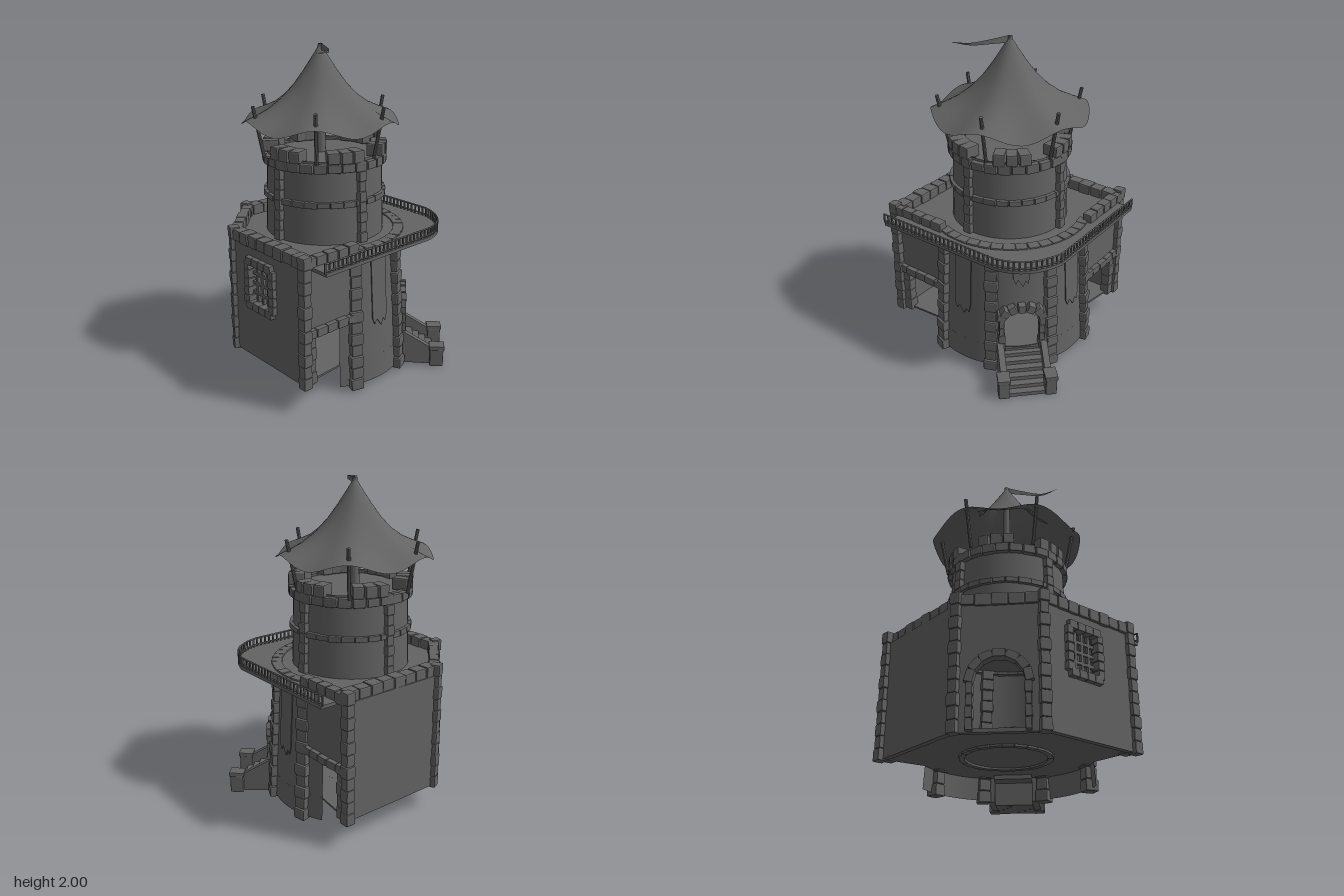
import * as THREE from 'three';
import { mergeGeometries } from 'three/addons/utils/BufferGeometryUtils.js';
import { RoundedBoxGeometry } from 'three/addons/geometries/RoundedBoxGeometry.js';
import { ParametricGeometry } from 'three/addons/geometries/ParametricGeometry.js';

const CX = -0.052, CZ = -0.067, DEG = Math.PI / 180;
const FLOOR = 0.17, DECK = 0.87;
let seed = 7;
const rnd = (a, b) => {
  seed = (seed * 16807) % 2147483647;
  return a + (b - a) * seed / 2147483647;
};
const flat = new THREE.MeshStandardMaterial({ color: 0x636363, flatShading: true });
const smooth = new THREE.MeshStandardMaterial({ color: 0x636363, side: THREE.DoubleSide });
const baseRadius = y => 0.52 - 0.048 * (y - 0.03) / 0.84;
const polar = (deg, r, cx = CX, cz = CZ) => [cx + r * Math.sin(deg * DEG), cz + r * Math.cos(deg * DEG)];

// Local frame at (x, z): x runs along the wall, z points outward
const frame = (x, z, ry) => new THREE.Matrix4().makeRotationY(ry).setPosition(x, 0, z);
const towerFrame = (deg, r = 0) => frame(...polar(deg, r), deg * DEG);
// The upper tower sits slightly forward of the roof axis
const UX = CX + 0.013, UZ = CZ + 0.02;
const upperFrame = (deg, r) => frame(...polar(deg, r, UX, UZ), deg * DEG);

export function createModel() {
  const model = new THREE.Group();
  const add = (name, geo, mat = flat, matrix) => {
    const mesh = new THREE.Mesh(geo, mat);
    mesh.name = name;
    if (matrix) mesh.applyMatrix4(matrix);
    model.add(mesh);
  };
  const box = (w, h, d, x, y, z) => new THREE.BoxGeometry(w, h, d).translate(x, y, z);

  // Rough bevelled stone, optionally rolled in the wall plane
  const stone = (list, m, w, h, d, x, y, z, roll = 0) => {
    const g = new RoundedBoxGeometry(w, h, d, 1, Math.min(w, h, d) * 0.12);
    g.rotateZ(roll + rnd(-0.03, 0.03)).rotateY(rnd(-0.04, 0.04)).translate(x, y, z);
    list.push(g.applyMatrix4(m));
  };
  const pillar = (name, at, ry, y0, y1, w, size = 0.07) => {
    const list = [], n = Math.round((y1 - y0) / size), h = (y1 - y0) / n;
    for (let i = 0; i < n; i++) {
      const y = y0 + h * (i + 0.5), k = (i % 2 ? 0.9 : 1.02) * rnd(0.95, 1.04);
      stone(list, frame(...at(y), ry), w * k, h * 0.99, w * k, 0, y, 0);
    }
    add(name, mergeGeometries(list));
  };
  const row = (name, a, b, y, h, d, size = 0.085) => {
    const list = [], dx = b[0] - a[0], dz = b[1] - a[1], L = Math.hypot(dx, dz);
    const n = Math.round(L / size), m = frame(a[0], a[1], Math.atan2(-dz, dx));
    for (let i = 0; i < n; i++)
      stone(list, m, L / n * rnd(0.95, 1.03), h * rnd(0.88, 1.08), d * rnd(0.9, 1.1), (i + 0.5) * L / n, y, 0);
    add(name, mergeGeometries(list));
  };
  const ring = (name, at, r, y, h, d, from, to, n) => {
    const list = [], step = (to - from) / n;
    for (let i = 0; i < n; i++)
      stone(list, at(from + (i + 0.5) * step, r), r * step * DEG * rnd(0.95, 1.06),
        h * rnd(0.88, 1.08), d, 0, y, 0);
    add(name, mergeGeometries(list));
  };
  // Jamb stones and wedge stones around a round-topped opening
  const archStones = (name, m, half, y0, spring, rise, w, d) => {
    const list = [], n = Math.round((spring - y0) / 0.065), h = (spring - y0) / n;
    for (const s of [-1, 1]) for (let i = 0; i < n; i++)
      stone(list, m, w * rnd(0.6, 0.9), h * 0.97, d, s * (half + w * 0.3), y0 + h * (i + 0.5), 0);
    for (let i = 0; i < 7; i++) {
      const t = (i + 0.5) / 7 * Math.PI;
      stone(list, m, w * 1.05, (half + rise + w) / 2 * Math.PI / 7, d * rnd(0.95, 1.1),
        Math.cos(t) * (half + w * 0.4), spring + Math.sin(t) * (rise + w * 0.4), 0, t);
    }
    add(name, mergeGeometries(list));
  };
  const wall = (name, a, b, y0, y1, hole) => {
    const dx = b[0] - a[0], dz = b[1] - a[1], L = Math.hypot(dx, dz);
    const s = new THREE.Shape().moveTo(0, y0).lineTo(L, y0).lineTo(L, y1).lineTo(0, y1).closePath();
    if (hole) s.holes.push(hole);
    const g = new THREE.ExtrudeGeometry(s, { depth: 0.035, bevelEnabled: false, curveSegments: 10 });
    add(name, g.translate(0, 0, -0.035), flat, frame(a[0], a[1], Math.atan2(-dz, dx)));
  };
  const slab = (name, pts, y, h) => {
    const s = new THREE.Shape(pts.map(p => new THREE.Vector2(p[0], -p[1])));
    add(name, new THREE.ExtrudeGeometry(s, { depth: h, bevelEnabled: false }).rotateX(-Math.PI / 2).translate(0, y, 0));
  };

  // Plan of the lower storey: angular rear, round front
  const LF = [-0.595, 0.405], LB = [-0.595, -0.25], BL = [-0.25, -0.595], BR = [0.435, -0.595];
  const arc = [];
  for (let d = -29; d <= 119; d += 4) arc.push(polar(d, baseRadius(FLOOR)));
  slab('floor', [...arc, BR, BL, LB, LF], FLOOR - 0.005, 0.012);
  ring('floorRing', towerFrame, 0.25, FLOOR - 0.005, 0.025, 0.035, 0, 360, 24);

  // Balcony and roof deck
  const edge = new THREE.Path().moveTo(-0.55, 0.55).lineTo(0.28, 0.535);
  edge.quadraticCurveTo(0.5, 0.5, 0.565, 0.26).lineTo(0.565, -0.53);
  slab('deck', [...edge.getPoints(10).map(p => [p.x, p.y]), [0.43, -0.53], BR, BL, LB, LF, [-0.55, 0.4]], DECK - 0.01, 0.02);
  const rails = [], spots = edge.getSpacedPoints(64);
  const railCurve = y => new THREE.CatmullRomCurve3(spots.map(p => new THREE.Vector3(p.x - 0.005, y, p.y - 0.005)));
  for (const y of [0.892, 0.935]) rails.push(new THREE.TubeGeometry(railCurve(y), 80, 0.006, 4));
  for (const p of spots) rails.push(box(0.009, 0.06, 0.009, p.x - 0.005, 0.908, p.y - 0.005));
  add('balconyRailing', mergeGeometries(rails));

  // Round lower wall, with an arched doorway on the diagonal
  const curvedWall = (from, to, bottom) => add('lowerWall', new ParametricGeometry((u, v, p) => {
    const y0 = bottom(u), y = y0 + (DECK - y0) * v, [x, z] = polar(from + (to - from) * u, baseRadius(y));
    p.set(x, y, z);
  }, 18, 3), smooth);
  const half = 0.11, ang = 12.5;
  curvedWall(-29, 45 - ang, () => 0.03);
  curvedWall(45 + ang, 119, () => 0.03);
  curvedWall(45 - ang, 45 + ang, u => 0.4 + 0.05 * Math.sqrt(Math.max(0, 1 - (2 * u - 1) ** 2)));
  archStones('frontDoorArch', towerFrame(45, 0.505), half, FLOOR, 0.4, 0.05, 0.05, 0.07);
  for (const d of [-18, 24, 66, 104])
    pillar('lowerPillar', y => polar(d, baseRadius(y)), d * DEG, 0.012, DECK, 0.08);
  ring('lowerCornice', towerFrame, 0.478, 0.865, 0.05, 0.065, -20, 110, 15);

  // Banners with ragged lower ends
  for (const [d, w, y0] of [[2, 0.12, 0.37], [45, 0.1, 0.61], [86, 0.12, 0.37]]) {
    const s = new THREE.Shape().moveTo(-w / 2, 0.86).lineTo(-w / 2, y0 + 0.06);
    for (const [fx, fy] of [[-0.35, 0.02], [-0.2, 0.05], [0.1, 0], [0.25, 0.04], [0.4, 0.02], [0.5, 0.07]])
      s.lineTo(fx * w, y0 + fy);
    s.lineTo(w / 2, 0.86).closePath();
    const g = new THREE.ExtrudeGeometry(s, { depth: 0.006, bevelEnabled: false });
    g.translate(0, -0.86, 0).rotateX(-0.057).translate(0, 0.86, baseRadius(0.86) + 0.008);
    add('banner', g, flat, towerFrame(d));
  }

  // Steps, sloping side walls and end posts
  const stairs = [box(0.23, 0.03, 0.12, 0, FLOOR - 0.015, 0.46)];
  for (let i = 0; i < 6; i++) {
    const h = 0.15 - i * 0.025;
    stairs.push(box(0.23, h, 0.042, 0, h / 2 + 0.004, 0.53 + i * 0.043));
  }
  add('stairs', mergeGeometries(stairs), flat, towerFrame(45));
  const side = new THREE.Shape().moveTo(-0.48, 0.02).lineTo(-0.74, 0.01).lineTo(-0.74, 0.1).lineTo(-0.52, 0.235).lineTo(-0.48, 0.235).closePath();
  for (const s of [-1, 1]) {
    const g = new THREE.ExtrudeGeometry(side, { depth: 0.04, bevelEnabled: false }).rotateY(Math.PI / 2);
    add('stairSide', g.translate(s * 0.135 - 0.02, 0, 0), flat, towerFrame(45));
    const post = [];
    stone(post, towerFrame(45), 0.07, 0.12, 0.085, s * 0.142, 0.062, 0.738);
    stone(post, towerFrame(45), 0.078, 0.025, 0.095, s * 0.142, 0.13, 0.738);
    add('stairPost', mergeGeometries(post));
  }

  // Wings on either side: wall over an open gateway
  const gates = [[LF, [-0.2, 0.405], [-0.54, 0.39]], [[0.435, -0.2], BR, [0.42, -0.54]]];
  for (const [a, b, jamb] of gates) {
    wall('wingWall', a, b, 0.45, DECK);
    row('wingLintel', a, b, 0.475, 0.05, 0.06);
    row('wingParapet', a, b, 0.9, 0.07, 0.06);
    pillar('gateJamb', () => jamb, 0, 0.155, 0.46, 0.062, 0.075);
  }

  // Rear walls: plain back, chamfer with arched door, left with window
  const L = Math.hypot(LB[0] - BL[0], LB[1] - BL[1]);
  const doorHole = new THREE.Path().moveTo(L / 2 - 0.14, FLOOR + 0.005).lineTo(L / 2 + 0.14, FLOOR + 0.005).lineTo(L / 2 + 0.14, 0.42);
  doorHole.absarc(L / 2, 0.42, 0.14, 0, Math.PI).closePath();
  const winX = 0.28, winY = 0.65;
  const winHole = new THREE.Path().moveTo(winX - 0.1, winY - 0.12).lineTo(winX + 0.1, winY - 0.12)
    .lineTo(winX + 0.1, winY + 0.12).lineTo(winX - 0.1, winY + 0.12).closePath();
  wall('backWall', BR, BL, 0.16, DECK);
  wall('chamferWall', BL, LB, 0.155, DECK, doorHole);
  wall('leftWall', LB, LF, 0.16, DECK, winHole);
  archStones('rearDoorArch', frame(-0.4225, -0.4225, -135 * DEG), 0.14, FLOOR - 0.01, 0.42, 0.14, 0.045, 0.06);
  // Parapets sit just inside the wall faces
  row('backParapet', [0.43, -0.55], [-0.25, -0.55], 0.905, 0.075, 0.08);
  row('chamferParapet', [-0.245, -0.57], [-0.57, -0.245], 0.905, 0.075, 0.065);
  row('leftParapet', [-0.57, -0.24], [-0.57, 0.4], 0.905, 0.075, 0.08);
  for (const [p, ry] of [[[-0.59, 0.415], 0], [[-0.583, -0.25], -112 * DEG], [[-0.25, -0.583], -158 * DEG], [[0.435, -0.595], 0]])
    pillar('cornerPillar', () => p, ry, 0.15, 0.95, 0.062);

  // Window surround and lattice
  const winFrame = frame(LB[0], LB[1], -90 * DEG), surround = [], bars = [];
  for (const s of [-1, 1]) {
    for (let i = 0; i < 5; i++) stone(surround, winFrame, rnd(0.042, 0.055), 0.052, 0.055, winX + s * 0.115, winY - 0.108 + i * 0.054, 0);
    for (let i = 0; i < 4; i++) stone(surround, winFrame, 0.06, 0.05, 0.06, winX - 0.09 + i * 0.06, winY + s * 0.14, 0);
  }
  for (let i = -1; i <= 1; i++) {
    bars.push(box(0.018, 0.25, 0.018, winX + i * 0.05, winY, -0.015));
    bars.push(box(0.21, 0.018, 0.018, winX, winY + i * 0.06, -0.015));
  }
  add('windowSurround', mergeGeometries(surround));
  add('windowLattice', mergeGeometries(bars), flat, winFrame);

  // Upper round tower with stone bands, pillars and battlements
  const upper = new THREE.Matrix4().makeTranslation(UX, 0, UZ);
  add('upperWall', new THREE.CylinderGeometry(0.345, 0.36, 0.5, 48, 1, true).translate(0, 1.125, 0), smooth, upper);
  add('upperFloor', new THREE.CylinderGeometry(0.34, 0.34, 0.02, 48).translate(0, 1.345, 0), flat, upper);
  ring('middleBand', upperFrame, 0.352, 1.12, 0.035, 0.04, 0, 360, 30);
  ring('upperBand', upperFrame, 0.345, 1.335, 0.055, 0.06, 0, 360, 28);
  for (const d of [-5, 92, 178, 272])
    pillar('upperPillar', y => polar(d, 0.363 - 0.03 * (y - 0.88), UX, UZ), d * DEG, 0.88, 1.37, 0.055, 0.065);
  for (let d = 39; d < 399; d += 60) ring('battlement', upperFrame, 0.325, 1.395, 0.075, 0.1, d - 18, d + 18, 3);

  // Tent roof: hollow cone sagging between its poles
  const center = new THREE.Matrix4().makeTranslation(CX, 0, CZ);
  const PHASE = 15.5 * DEG;
  const profile = [[0.012, 1.98], [0.05, 1.92], [0.1, 1.845], [0.16, 1.765], [0.23, 1.695], [0.31, 1.64], [0.39, 1.605], [0.47, 1.575]];
  const roof = new THREE.LatheGeometry(profile.map(p => new THREE.Vector2(...p)), 72);
  const pos = roof.attributes.position;
  for (let i = 0; i < pos.count; i++) {
    const x = pos.getX(i), z = pos.getZ(i), r = Math.hypot(x, z) / 0.47;
    const sag = (1 - Math.cos(6 * (Math.atan2(x, z) - PHASE))) / 2;
    pos.setY(i, pos.getY(i) - 0.055 * r * r * sag);
  }
  roof.computeVertexNormals();
  add('tentRoof', roof, smooth, center);
  add('centrePole', new THREE.CylinderGeometry(0.014, 0.032, 0.65, 12).translate(0, 1.67, 0), flat, center);
  for (let i = 0; i < 6; i++) {
    const pole = new THREE.CylinderGeometry(0.011, 0.011, 0.31, 8).rotateX(0.2).translate(0, 1.51, 0.4);
    add('roofPole', pole, flat, towerFrame(15.5 + 60 * i));
  }

  // Pennant: a tapering strip along a bent path
  const path = new THREE.CatmullRomCurve3([[CX, CZ], [-0.1, 0.03], [-0.17, 0.14], [-0.295, 0.175]].map(([x, z]) => new THREE.Vector3(x, 1.978, z)));
  add('pennant', new ParametricGeometry((u, v, p) => {
    path.getPoint(u, p);
    p.y += (v - 0.5) * 0.044 * (1 - u) - 0.005 * u;
  }, 16, 1), smooth);

  return model;
}
